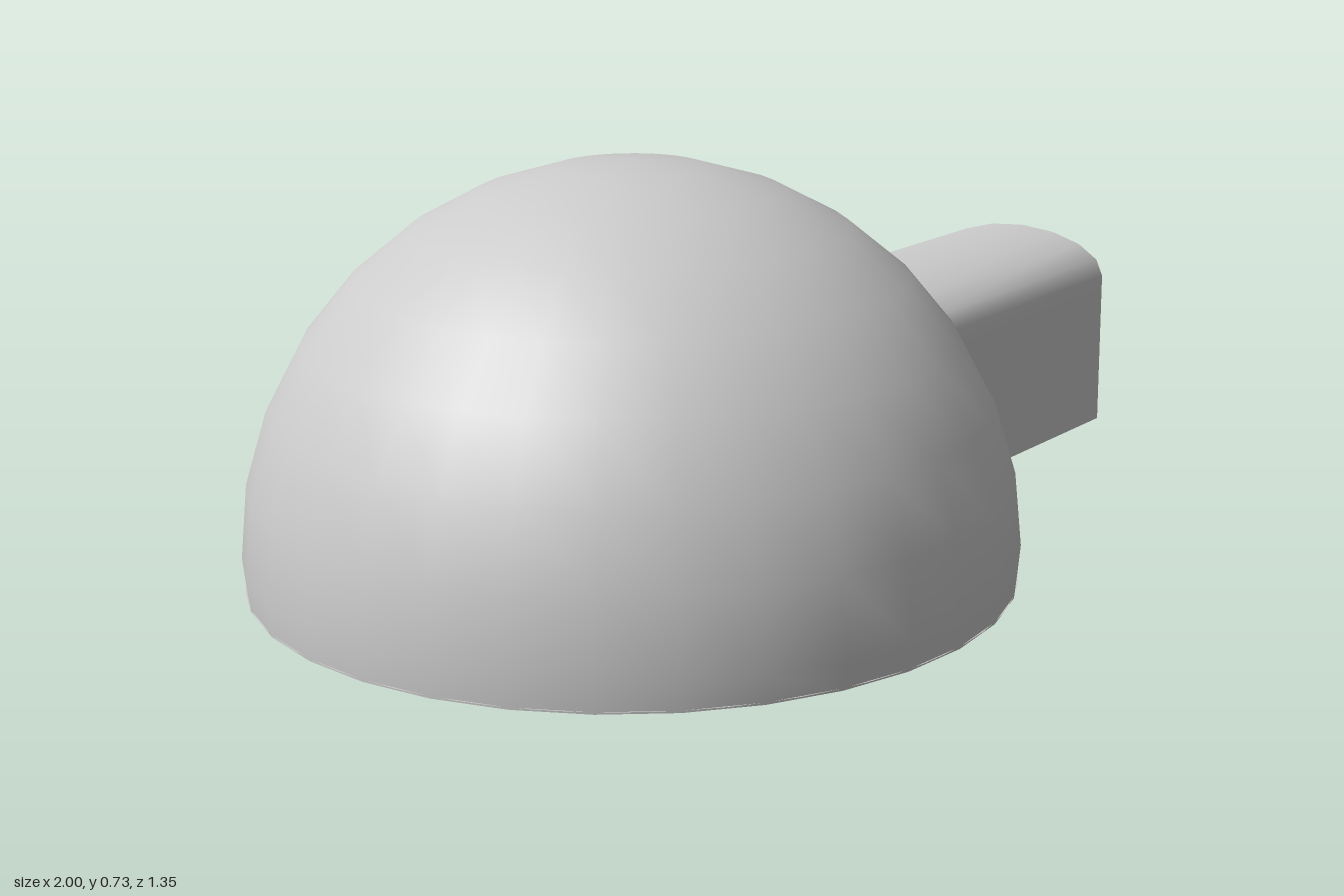
import * as THREE from 'three';

const R = 0.677, CX = -0.323, CY = 0.05;       // dome sphere
const W = 0.195, SPRING = 0.31, RISE = 0.085;  // tunnel half width, wall height, arch rise
const BASE_R = 0.672;
const material = new THREE.MeshStandardMaterial({ color: 0xcccccc, side: THREE.DoubleSide });

// Tunnel outline as (z, y): up the left wall, over the arch, down the right wall
function tunnelOutline(wallSteps) {
  const pts = [];
  for (let i = 0; i < wallSteps; i++) pts.push([W, SPRING * i / wallSteps]);
  for (let i = 0; i <= 8; i++) {
    const a = Math.PI * i / 8;
    pts.push([W * Math.cos(a), SPRING + RISE * Math.sin(a)]);
  }
  for (let i = wallSteps - 1; i >= 0; i--) pts.push([-W, SPRING * i / wallSteps]);
  return pts;
}

// Split a polygon by a signed distance function into inside and outside pieces
function split(poly, dist) {
  const inside = [], outside = [];
  poly.forEach((p, i) => {
    const q = poly[(i + 1) % poly.length], dp = dist(p), dq = dist(q);
    (dp >= 0 ? inside : outside).push(p);
    if ((dp >= 0) !== (dq >= 0)) {
      const m = p.clone().lerp(q, dp / (dp - dq));
      inside.push(m);
      outside.push(m);
    }
  });
  return [inside, outside];
}

// Dome: lathed sphere cap with the doorway cut out of its +x side
function domeGeometry() {
  const profile = [new THREE.Vector2(BASE_R, 0)];
  for (let i = 0; i <= 8; i++) {
    const a = Math.PI / 2 * i / 8;
    profile.push(new THREE.Vector2(i === 8 ? 0 : R * Math.cos(a), CY + R * Math.sin(a)));
  }
  const src = new THREE.LatheGeometry(profile, 32).toNonIndexed().attributes.position;
  const outline = tunnelOutline(1);
  const positions = [], normals = [];
  const emit = (poly) => {
    for (let i = 1; i + 1 < poly.length; i++) {
      for (const p of [poly[0], poly[i], poly[i + 1]]) {
        const n = new THREE.Vector3(p.x, p.y - CY, p.z).normalize();
        positions.push(p.x, p.y, p.z);
        normals.push(n.x, n.y, n.z);
      }
    }
  };
  for (let t = 0; t < src.count; t += 3) {
    let rest = [0, 1, 2].map((k) => new THREE.Vector3().fromBufferAttribute(src, t + k));
    if (rest[0].x + rest[1].x + rest[2].x < 0) {
      emit(rest);
      continue;
    }
    for (let e = 0; e + 1 < outline.length && rest.length; e++) {
      const [az, ay] = outline[e], [bz, by] = outline[e + 1];
      const [inside, outside] = split(rest, (p) => (bz - az) * (p.y - ay) - (by - ay) * (p.z - az));
      emit(outside);
      rest = inside;
    }
  }
  const g = new THREE.BufferGeometry();
  g.setAttribute('position', new THREE.Float32BufferAttribute(positions, 3));
  g.setAttribute('normal', new THREE.Float32BufferAttribute(normals, 3));
  return g;
}

// Tunnel: outline swept from the dome surface to the open end
function tunnelGeometry() {
  const positions = [], index = [];
  tunnelOutline(6).forEach(([z, y], i) => {
    const start = CX + Math.sqrt((R - 0.005) ** 2 - (y - CY) ** 2 - z * z);
    positions.push(start, y, z, 1, y, z);
    if (i > 0) {
      const a = 2 * i - 2;
      index.push(a, a + 1, a + 3, a, a + 3, a + 2);
    }
  });
  const g = new THREE.BufferGeometry();
  g.setAttribute('position', new THREE.Float32BufferAttribute(positions, 3));
  g.setIndex(index);
  g.computeVertexNormals();
  return g;
}

// Floor: disc and tunnel strip in one outline
function floorGeometry() {
  const a = Math.asin(W / BASE_R);
  const shape = new THREE.Shape();
  shape.moveTo(1, -W);
  shape.lineTo(1, W);
  shape.absarc(CX, 0, BASE_R, a, 2 * Math.PI - a, false);
  shape.closePath();
  return new THREE.ShapeGeometry(shape, 32).rotateX(-Math.PI / 2);
}

export function createModel() {
  const group = new THREE.Group();
  const add = (name, geometry) => {
    const mesh = new THREE.Mesh(geometry, material);
    mesh.name = name;
    group.add(mesh);
    return mesh;
  };
  add('dome', domeGeometry()).position.x = CX;
  add('entranceTunnel', tunnelGeometry());
  add('floor', floorGeometry()).position.y = 0.004;
  return group;
}
